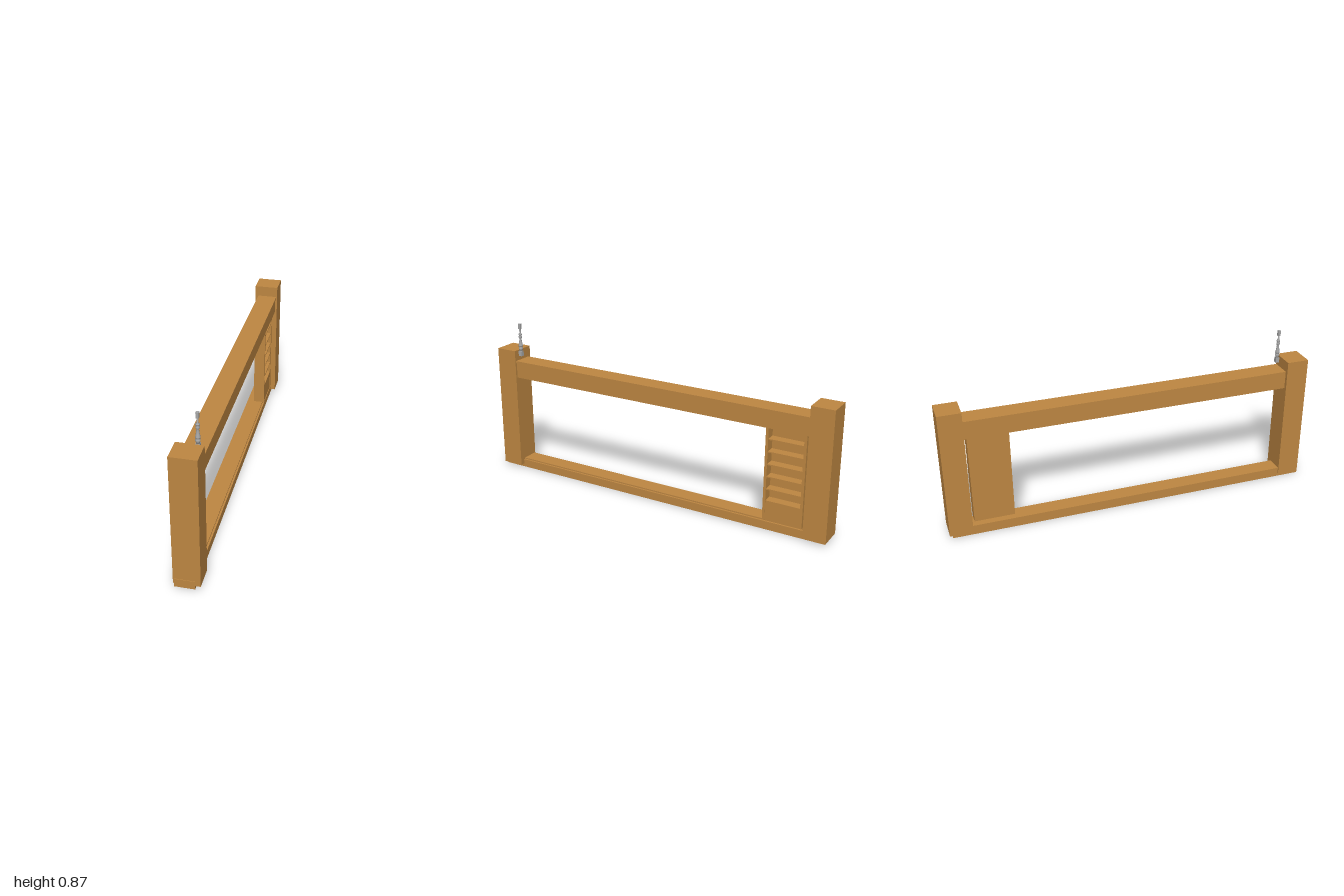
import * as THREE from 'three';

export function createModel() {
  const model = new THREE.Group();
  const wood = new THREE.MeshStandardMaterial({ color: 0xbe8742 });
  wood.name = 'wood';
  const metal = new THREE.MeshStandardMaterial({ color: 0xa8a8a8 });
  metal.name = 'grey spindle';

  // Box given by its limits on each axis
  function box(name, [x0, x1], [y0, y1], [z0, z1], material = wood, parent = model) {
    const mesh = new THREE.Mesh(new THREE.BoxGeometry(x1 - x0, y1 - y0, z1 - z0), material);
    mesh.position.set((x0 + x1) / 2, (y0 + y1) / 2, (z0 + z1) / 2);
    mesh.name = name;
    parent.add(mesh);
  }

  // End posts
  box('frontPost', [-0.066, 0.066], [0.018, 0.712], [0.877, 0.997]);
  box('backPost', [-0.066, 0.066], [0.018, 0.712], [-1, -0.878]);

  // Base rail with a narrower board on top
  box('baseRail', [-0.06, 0.04], [0, 0.045], [-0.985, 1]);
  box('baseBoard', [-0.06, 0.03], [0.045, 0.052], [-0.878, 0.877]);

  // Top rail with a slightly overhanging cap
  box('topRail', [-0.048, 0.055], [0.555, 0.641], [-0.878, 0.877]);
  box('topRailCap', [-0.048, 0.061], [0.641, 0.653], [-0.878, 0.877]);

  // Shelf unit, open towards +x
  const shelf = new THREE.Group();
  shelf.name = 'shelfUnit';
  model.add(shelf);
  box('shelfBack', [-0.022, -0.012], [0.05, 0.555], [-0.862, -0.648], wood, shelf);
  box('shelfSideFront', [-0.012, 0.04], [0.05, 0.555], [-0.662, -0.648], wood, shelf);
  box('shelfSideBack', [-0.012, 0.04], [0.05, 0.555], [-0.862, -0.848], wood, shelf);
  box('shelfBase', [-0.012, 0.038], [0.05, 0.16], [-0.848, -0.662], wood, shelf);
  for (let i = 0; i < 5; i++) {
    const y = 0.222 + i * 0.067;
    box('shelfBoard', [-0.012, 0.038], [y - 0.003, y + 0.003], [-0.848, -0.662], wood, shelf);
  }

  // Turned spindle with square ends
  const spindle = new THREE.Group();
  spindle.name = 'spindle';
  spindle.position.set(0.032, 0, 0.86);
  model.add(spindle);
  const profile = [
    [0, 0.708], [0.009, 0.708], [0.008, 0.714], [0.012, 0.72], [0.012, 0.727], [0.007, 0.732],
    [0.012, 0.736], [0.012, 0.741], [0.009, 0.755], [0.006, 0.778], [0.009, 0.785], [0.01, 0.791],
    [0.006, 0.798], [0.01, 0.802], [0.01, 0.807], [0.004, 0.811], [0.005, 0.836], [0, 0.836],
  ].map(([r, y]) => new THREE.Vector2(r, y));
  const turned = new THREE.Mesh(new THREE.LatheGeometry(profile, 16), metal);
  turned.name = 'turnedShaft';
  spindle.add(turned);
  box('spindleFoot', [-0.01, 0.01], [0.68, 0.709], [-0.01, 0.01], metal, spindle);
  box('spindleTop', [-0.007, 0.007], [0.835, 0.865], [-0.007, 0.007], metal, spindle);

  return model;
}
